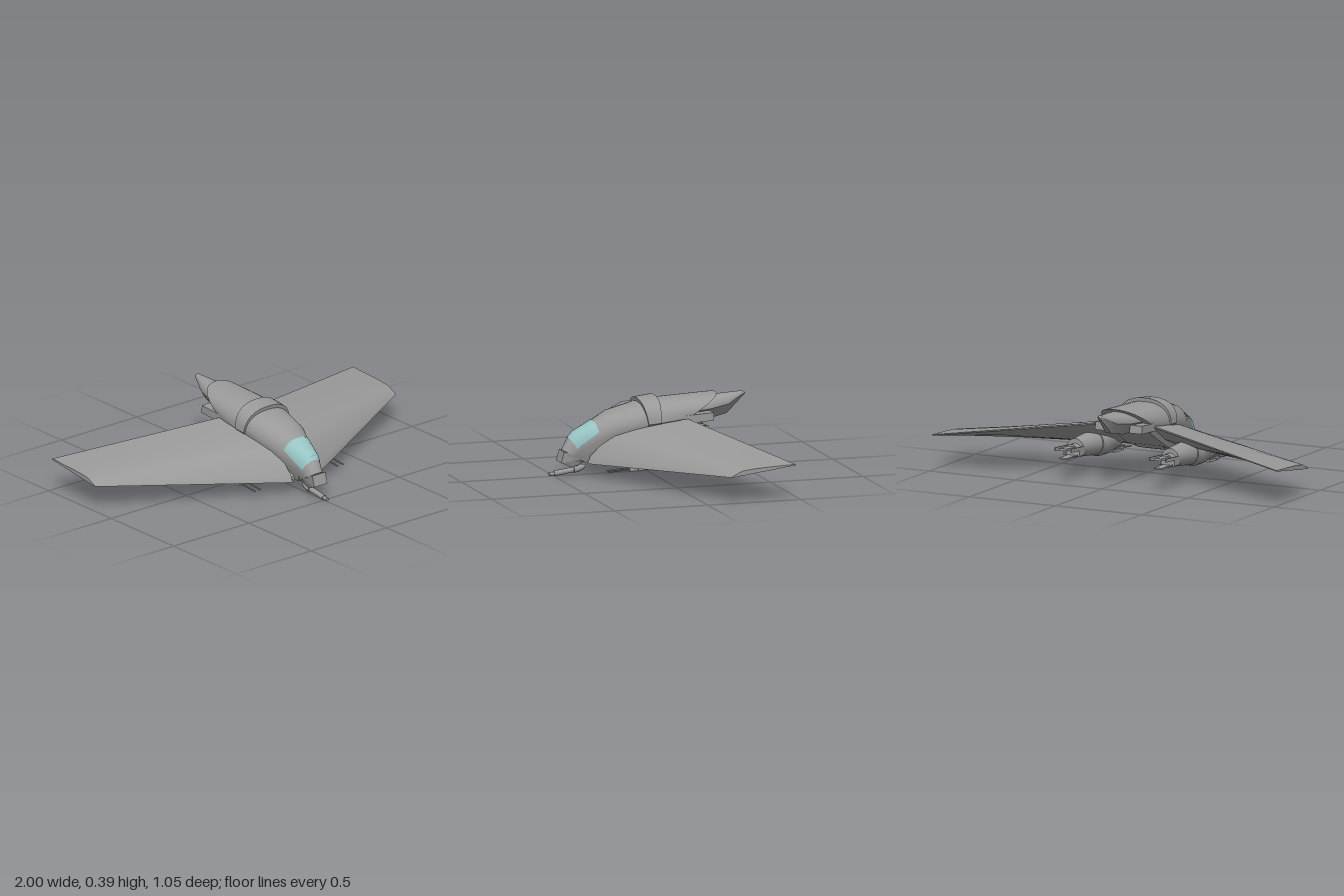
import * as THREE from 'three';
import { toCreasedNormals } from 'three/addons/utils/BufferGeometryUtils.js';

const V = (x, y, z) => new THREE.Vector3(x, y, z);
const grey = new THREE.MeshStandardMaterial({ color: 0x999999 });
const glass = new THREE.MeshStandardMaterial({ color: 0x98c4c4, side: THREE.DoubleSide });

function add(parent, name, geometry, material = grey) {
  const mesh = new THREE.Mesh(geometry, material);
  mesh.name = name;
  parent.add(mesh);
  return mesh;
}

// Closed skin through equal-length rings, capped at both ends, facing outward
function loft(rings, crease = 0.6) {
  const n = rings[0].length, points = rings.flat(), index = [];
  for (let r = 0; r < rings.length - 1; r++)
    for (let i = 0; i < n; i++) {
      const a = r * n + i, b = r * n + (i + 1) % n;
      index.push(a, b, a + n, b, b + n, a + n);
    }
  [0, rings.length - 1].forEach((r) => {
    const centre = rings[r].reduce((s, p) => s.add(p), V(0, 0, 0)).divideScalar(n);
    const c = points.push(centre) - 1;
    for (let i = 0; i < n; i++) {
      const a = r * n + i, b = r * n + (i + 1) % n;
      index.push(...(r === 0 ? [c, b, a] : [c, a, b]));
    }
  });
  let volume = 0;
  for (let i = 0; i < index.length; i += 3) {
    const [a, b, c] = [0, 1, 2].map((k) => points[index[i + k]]);
    volume += a.dot(V(0, 0, 0).crossVectors(b, c));
  }
  if (volume < 0) index.reverse();
  const g = new THREE.BufferGeometry().setFromPoints(points);
  g.setIndex(index);
  return toCreasedNormals(g, crease);
}

// Hull section: domed roof over sides that taper to a narrow keel.
// zt and zb let the section lean; grow puts it slightly proud of the skin.
const ARC = 16;
function section([zt, zb, top, bot, w, m, keel], grow = 0) {
  const pts = [];
  const put = (x, y) => pts.push(V(x, y, THREE.MathUtils.lerp(zb, zt, (y - bot) / (top - bot))));
  for (let i = 0; i <= ARC; i++) {
    const a = Math.PI * i / ARC, c = Math.cos(a), s = Math.sin(a);
    put(Math.sign(c) * Math.abs(c) ** 0.85 * (w + grow), m + Math.abs(s) ** 0.85 * (top + grow - m));
  }
  for (const [side, t] of [[-1, 0.5], [-1, 1], [1, 1], [1, 0.5]])
    put(side * THREE.MathUtils.lerp(w + grow, keel, t), THREE.MathUtils.lerp(m, bot, t));
  return pts;
}
const mix = (a, b, t) => a.map((v, i) => THREE.MathUtils.lerp(v, b[i], t));

// Elliptical ring across z
const oval = (z, y, rx, ry, n = 20) => Array.from({ length: n }, (_, i) =>
  V(rx * Math.cos(i * 2 * Math.PI / n), y + ry * Math.sin(i * 2 * Math.PI / n), z));

// Round bar between two points
function rod(parent, name, a, b, ra, rb = ra, sides = 16) {
  const mesh = add(parent, name, new THREE.CylinderGeometry(rb, ra, a.distanceTo(b), sides));
  mesh.position.copy(a).lerp(b, 0.5);
  mesh.quaternion.setFromUnitVectors(V(0, 1, 0), b.clone().sub(a).normalize());
}

function box(parent, name, size, at, tilt = 0) {
  const mesh = add(parent, name, new THREE.BoxGeometry(...size));
  mesh.position.set(...at);
  mesh.rotation.x = tilt;
}

function buildHull(model) {
  const hull = [
    [0.458, 0.35, 0.14, 0.075, 0.048, 0.11, 0.036],
    [0.41, 0.345, 0.222, 0.075, 0.06, 0.14, 0.045],
    [0.29, 0.25, 0.285, 0.08, 0.092, 0.195, 0.06],
    [0.207, 0.18, 0.33, 0.09, 0.12, 0.23, 0.07],
    [0.06, 0.05, 0.367, 0.12, 0.14, 0.265, 0.08],
    [-0.04, -0.04, 0.38, 0.17, 0.144, 0.275, 0.085],
    [-0.18, -0.12, 0.387, 0.23, 0.14, 0.285, 0.085],
    [-0.367, -0.16, 0.396, 0.275, 0.13, 0.292, 0.09],
  ];
  add(model, 'fuselage', loft(hull.map((s) => section(s))));

  // Raised band around the back of the cabin
  const band = [
    [0.055, 0.02, 0.374, 0.17, 0.136, 0.27, 0.06],
    [-0.037, -0.02, 0.385, 0.18, 0.138, 0.275, 0.06],
  ];
  add(model, 'hullBand', loft(band.map((s) => section(s, 0.014))));

  // Stepped lower shell joining the wing roots, as [z, half width, bottom, top]
  const shell = [[0.325, 0.08, 0.075, 0.1], [0.3, 0.092, 0.078, 0.122], [0.195, 0.132, 0.09, 0.218],
    [0.09, 0.146, 0.115, 0.247], [-0.01, 0.153, 0.15, 0.272], [-0.18, 0.144, 0.25, 0.288]];
  add(model, 'lowerShell', loft(shell.map(([z, x, b, t]) =>
    [[x - 0.03, t], [x, t - 0.008], [x * 0.75, b], [-x * 0.75, b], [-x, t - 0.008], [0.03 - x, t]]
      .map(([px, py]) => V(px, py, z))), 0.4));

  // Canopy follows the hull roof between two stations
  const stations = [mix(hull[0], hull[1], 0.72), mix(hull[1], hull[2], 0.06), mix(hull[1], hull[2], 0.97)];
  const rows = stations.map((s, r) => section(s, 0.003).slice(r < 2 ? 1 : 2, r < 2 ? ARC : ARC - 1));
  rows[2].unshift(rows[2][0].clone());
  rows[2].push(rows[2].at(-1).clone());
  const n = rows[0].length, index = [];
  for (let r = 0; r < 2; r++)
    for (let i = 0; i < n - 1; i++) {
      const a = r * n + i;
      index.push(a, a + 1, a + n, a + 1, a + n + 1, a + n);
    }
  const pane = new THREE.BufferGeometry().setFromPoints(rows.flat());
  pane.setIndex(index);
  add(model, 'canopy', toCreasedNormals(pane, 0.5), glass);

  // Tail spindle beneath the rear lip of the hull
  const tail = [
    [-0.14, -0.14, 0.355, 0.27, 0.105, 0.31, 0.06],
    [-0.32, -0.32, 0.378, 0.26, 0.077, 0.32, 0.03],
    [-0.425, -0.425, 0.385, 0.282, 0.05, 0.335, 0.016],
    [-0.515, -0.515, 0.391, 0.366, 0.015, 0.378, 0.006],
    [-0.527, -0.527, 0.381, 0.375, 0.004, 0.378, 0.002],
  ];
  add(model, 'tail', loft(tail.map((s) => section(s))));

  // Angular chin block
  const chin = [[0.458, 0.135], [0.475, 0.078], [0.41, 0.048], [0.36, 0.066], [0.335, 0.095]];
  const half = (s) => chin.map(([z, y]) => V(s * (y < 0.07 ? 0.024 : 0.043), y, z));
  add(model, 'chin', loft([half(-1), half(1)], 0.2));
}

function buildChinGun(model) {
  const gun = new THREE.Group();
  gun.name = 'chinGun';
  rod(gun, 'muzzle', V(0, 0.015, 0.525), V(0, 0.018, 0.497), 0.01);
  rod(gun, 'barrel', V(0, 0.018, 0.5), V(0, 0.033, 0.39), 0.014);
  const pod = [[0.395, 0.034, 0.019], [0.37, 0.038, 0.02], [0.345, 0.045, 0.014], [0.328, 0.052, 0.004]];
  add(gun, 'gunPod', loft(pod.map(([z, y, r]) => oval(z, y, r, r, 12))));
  rod(gun, 'gunMount', V(0, 0.04, 0.375), V(0, 0.075, 0.385), 0.012);
  model.add(gun);
}

function buildWing(model, side) {
  // Matching root and tip profiles as [z, y], around the top and back underneath
  const root = [[0.315, 0.078], [0.3, 0.115], [0.195, 0.215], [0.1, 0.245], [-0.01, 0.268],
    [-0.18, 0.285], [-0.18, 0.278], [-0.04, 0.19], [0.15, 0.12]];
  const tip = [[-0.13, 0.139], [-0.135, 0.146], [-0.19, 0.171], [-0.25, 0.178], [-0.33, 0.183],
    [-0.472, 0.189], [-0.472, 0.184], [-0.37, 0.17], [-0.25, 0.154]];
  const at = (x) => root.map((p, i) => {
    const [z, y] = mix(p, tip[i], (x - 0.14) / 0.86);
    return V(side * x, y, z);
  });
  add(model, side > 0 ? 'leftWing' : 'rightWing', loft([0.08, 0.14, 0.4, 0.7, 1].map(at), 0.5));
}

function buildNacelle(model, side) {
  const pod = new THREE.Group();
  pod.name = side > 0 ? 'leftNacelle' : 'rightNacelle';
  pod.position.x = side * 0.275;
  // Broad fairing sunk into the wing, then a slimmer rear barrel
  const fairing = [[0.19, 0.1, 0.025, 0.018], [0.1, 0.125, 0.055, 0.05], [0.02, 0.145, 0.076, 0.075],
    [-0.05, 0.147, 0.078, 0.076], [-0.09, 0.15, 0.068, 0.067]];
  add(pod, 'nacelleFairing', loft(fairing.map((s) => oval(...s))));
  const barrel = [[-0.05, 0.147, 0.066, 0.068], [-0.16, 0.15, 0.058, 0.058], [-0.272, 0.154, 0.049, 0.048]];
  add(pod, 'nacelleBarrel', loft(barrel.map((s) => oval(...s))));
  rod(pod, 'exhaustRing', V(0, 0.142, -0.26), V(0, 0.142, -0.31), 0.036);
  // Claw of thin plates around the exhaust
  for (const s of [-1, 1]) {
    box(pod, 'sideBlock', [0.012, 0.04, 0.06], [s * 0.042, 0.14, -0.285]);
    box(pod, 'sidePlate', [0.006, 0.018, 0.16], [s * 0.046, 0.16, -0.327], 0.06);
    rod(pod, 'gunBarrel', V(s * 0.018, 0.066, 0.3), V(s * 0.018, 0.077, 0.17), 0.004, 0.004, 8);
  }
  box(pod, 'lowerPlate', [0.045, 0.007, 0.14], [0, 0.119, -0.335]);
  box(pod, 'upperPlate', [0.045, 0.012, 0.14], [0, 0.162, -0.335], 0.06);
  // Gun housing slung under the nose
  box(pod, 'gunHousing', [0.07, 0.022, 0.125], [0, 0.08, 0.13], 0.06);
  box(pod, 'gunFairing', [0.09, 0.014, 0.08], [0, 0.078, 0.11], 0.06);
  model.add(pod);
}

export function createModel() {
  const model = new THREE.Group();
  model.name = 'aircraft';
  buildHull(model);
  buildChinGun(model);
  for (const side of [1, -1]) {
    buildWing(model, side);
    buildNacelle(model, side);
    // Exhaust box beside the tail
    box(model, 'exhaustBox', [0.07, 0.042, 0.16], [side * 0.1, 0.286, -0.237], 0.06);
  }
  return model;
}
